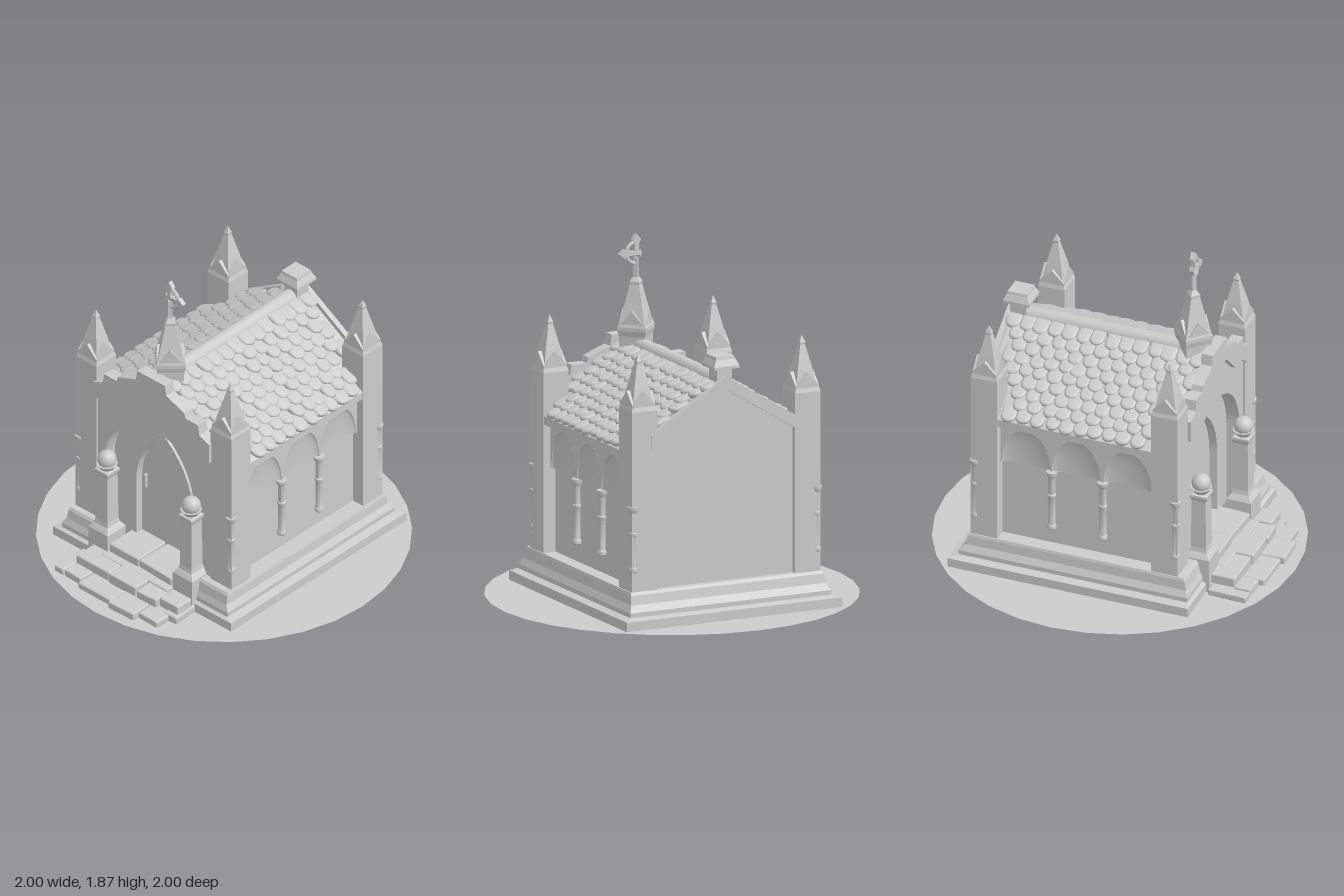
import * as THREE from 'three';
import { mergeGeometries, toCreasedNormals } from 'three/addons/utils/BufferGeometryUtils.js';
import { RoundedBoxGeometry } from 'three/addons/geometries/RoundedBoxGeometry.js';

const V = (x, y, z) => new THREE.Vector3(x, y, z);
const v2 = (a) => a.map(([x, y]) => new THREE.Vector2(x, y));
const polygon = (a) => new THREE.Shape(v2(a));
const mirrored = (a) => a.map(([x, y]) => [-x, y]).reverse();

// Solid from stacked rectangles [x0, x1, z0, z1, y]
function rectLoft(rings) {
  const pos = [], idx = [], n = rings.length;
  rings.forEach(([x0, x1, z0, z1, y]) => pos.push(x0, y, z1, x1, y, z1, x1, y, z0, x0, y, z0));
  for (let r = 0; r < n - 1; r++) for (let i = 0; i < 4; i++) {
    const a = r * 4 + i, b = r * 4 + (i + 1) % 4;
    idx.push(a, b, b + 4, a, b + 4, a + 4);
  }
  const t = (n - 1) * 4;
  idx.push(2, 1, 0, 3, 2, 0, t, t + 1, t + 2, t, t + 2, t + 3);
  const g = new THREE.BufferGeometry();
  g.setAttribute('position', new THREE.Float32BufferAttribute(pos, 3));
  g.setIndex(idx);
  const flat = g.toNonIndexed();
  flat.computeVertexNormals();
  return flat;
}
// Square version: [half width, y] around the origin
const squareLoft = (rings) => rectLoft(rings.map(([h, y]) => [-h, h, -h, h, y]));
const extrude = (shape, z0, z1) =>
  new THREE.ExtrudeGeometry(shape, { depth: z1 - z0, bevelEnabled: false, curveSegments: 20 }).translate(0, 0, z0);

export function createModel() {
  const model = new THREE.Group();
  const mat = new THREE.MeshStandardMaterial({ color: 0xcccccc });
  const thin = new THREE.MeshStandardMaterial({ color: 0xcccccc, side: THREE.DoubleSide });
  const add = (name, geo, p = [0, 0, 0], m = mat, parent = model) => {
    const mesh = new THREE.Mesh(geo, m);
    mesh.name = name;
    mesh.position.set(...p);
    parent.add(mesh);
    return mesh;
  };
  let seed = 7;
  const rnd = () => (seed = (seed * 16807) % 2147483647) / 2147483647 - 0.5;

  // Ground disc
  add('ground', new THREE.CircleGeometry(1, 32).rotateX(-Math.PI / 2), [0, 0, 0], thin);

  // Moulded plinth with a gap for the doorway: [x, back z, front z, y]
  const plinth = [[0.645, -0.73, 0.64, 0.003], [0.645, -0.73, 0.64, 0.055], [0.6, -0.685, 0.62, 0.065],
    [0.6, -0.685, 0.62, 0.09], [0.58, -0.655, 0.605, 0.125], [0.575, -0.645, 0.595, 0.175], [0.57, -0.635, 0.585, 0.19]];
  add('plinth', rectLoft(plinth.map(([x, b, , y]) => [-x, x, b, 0.42, y])));
  for (const s of [1, -1]) {
    add('plinthFront', rectLoft(plinth.map(([x, , f, y]) => [s > 0 ? 0.37 : -x, s > 0 ? x : -0.37, 0.42, f, y])));
  }

  // Gabled body
  const slope = 0.614, ridge = 1.28, roofY = (x) => ridge - slope * x, wallX = 0.49;
  const eave = roofY(wallX) - 0.01;
  add('body', extrude(polygon([[-wallX, 0.1], [wallX, 0.1], [wallX, eave], [0, ridge - 0.01], [-wallX, eave]]), -0.6, 0.42));

  // Roof slab, rear coping and ridge
  const chevron = (w, lift, t) => polygon([[-w, roofY(w) + lift], [-w, roofY(w) + lift - t], [0, ridge + lift - t],
    [w, roofY(w) + lift - t], [w, roofY(w) + lift], [0, ridge + lift]]);
  add('roofSlab', extrude(chevron(0.56, 0, 0.045), -0.61, 0.51));
  add('rearCoping', extrude(chevron(0.45, 0.03, 0.07), -0.635, -0.605));
  add('ridgeCap', new THREE.CylinderGeometry(0.048, 0.048, 0.92, 12).rotateX(Math.PI / 2), [0, 1.264, -0.09]);

  // Pillowy overlapping tiles, left out where the pillars stand
  const tileShape = new THREE.Shape();
  tileShape.moveTo(-0.028, 0.05);
  tileShape.lineTo(-0.028, -0.01);
  tileShape.quadraticCurveTo(-0.026, -0.036, 0, -0.038);
  tileShape.quadraticCurveTo(0.026, -0.036, 0.028, -0.01);
  tileShape.lineTo(0.028, 0.05);
  const tile = toCreasedNormals(new THREE.ExtrudeGeometry(tileShape,
    { depth: 0.006, bevelSize: 0.013, bevelThickness: 0.013, bevelSegments: 3, curveSegments: 4 }), 1);
  const angle = Math.atan(slope), tiles = [];
  for (const s of [1, -1]) for (let row = 0; row < 9; row++) for (let c = 0; c < 14; c++) {
    const ey = V(-s * Math.cos(angle), Math.sin(angle), 0);
    const ez = V(s * Math.sin(angle), Math.cos(angle), 0);
    const ex = ey.clone().cross(ez);
    const x = 0.53 - row * 0.057 + rnd() * 0.012;
    const z = 0.475 - c * 0.081 + (row % 2 ? -0.04 : 0) + rnd() * 0.014;
    if (z < -0.58 || (x > 0.4 && (z > 0.38 || z < -0.46))) continue;
    const m = new THREE.Matrix4().makeBasis(ex, ey, ez).setPosition(s * x, roofY(x) + 0.013, z);
    m.multiply(new THREE.Matrix4().makeRotationX(-0.2 + rnd() * 0.08));
    m.multiply(new THREE.Matrix4().makeRotationZ(rnd() * 0.16));
    m.multiply(new THREE.Matrix4().makeScale(1 + rnd() * 0.16, 1, 1));
    tiles.push(tile.clone().applyMatrix4(m));
  }
  add('roofTiles', mergeGeometries(tiles));

  // Corner pillars with cross-gabled heads and spires
  const gables = (w, y0, y1, y2) => {
    const g = extrude(polygon([[-w, y0], [w, y0], [w, y1], [0, y2], [-w, y1]]), -w, w);
    return [g, g.clone().rotateY(Math.PI / 2)];
  };
  const column = toCreasedNormals(new THREE.LatheGeometry(v2([[0, 0.29], [0.018, 0.292], [0.025, 0.3], [0.025, 0.318], [0.02, 0.325],
    [0.02, 0.49], [0.024, 0.495], [0.024, 0.51], [0.019, 0.515], [0.019, 0.615], [0.03, 0.635], [0.03, 0.653], [0, 0.655]]), 12), 0.7);
  for (const s of [1, -1]) for (const z of [0.475, -0.555]) {
    const pillar = new THREE.Group();
    pillar.name = 'cornerPillar';
    pillar.position.set(s * 0.488, 0, z);
    model.add(pillar);
    const put = (name, g) => add(name, g, [0, 0, 0], mat, pillar);
    put('shaft', squareLoft([[0.076, 0.15], [0.076, 1.17], [0.064, 1.21]]));
    for (const g of gables(0.069, 1.19, 1.205, 1.275)) put('gable', g);
    put('spire', squareLoft([[0.061, 1.2], [0.044, 1.29], [0.014, 1.42], [0.016, 1.43], [0, 1.47]]));
    add('cornerColumn', column, [s * 0.547, 0, z > 0 ? 0.533 : -0.612]);
  }

  // Side arcades: shallow arched hoods between slim columns
  const bays = [-0.33, -0.045, 0.25], r = 0.139;
  const arcade = new THREE.Shape();
  arcade.moveTo(-0.49, 0.93);
  arcade.lineTo(-0.49, 0.65);
  for (const c of bays) {
    arcade.lineTo(c - r, 0.65);
    arcade.absellipse(c, 0.65, r, 0.225, Math.PI, 0, true);
  }
  arcade.lineTo(0.41, 0.65);
  arcade.lineTo(0.41, 0.93);
  const depth = 0.03;
  const arcadeGeo = extrude(arcade, 0, depth).rotateY(-Math.PI / 2);
  const hood = new THREE.SphereGeometry(1, 16, 10, -Math.PI / 2, Math.PI, 0, Math.PI / 2).scale(depth - 0.002, 0.225, r);
  for (const s of [1, -1]) {
    add('sideArcade', arcadeGeo, [s > 0 ? wallX + depth : -wallX, 0, 0]);
    for (const c of bays) add('nicheHood', hood, [s * (wallX + depth), 0.65, c], thin).rotation.y = s > 0 ? 0 : Math.PI;
    for (const z of [0.105, -0.187]) add('sideColumn', column, [s * 0.515, 0, z]);
    add('eaveBeam', new THREE.BoxGeometry(0.07, 0.045, 0.9), [s * 0.515, 0.917, -0.04]);
  }

  // Front facade: round arch under a thin stepped gable
  const archWall = (right) => {
    const shape = polygon([[0.36, 0.12], [0.42, 0.12], ...right, ...mirrored(right), [-0.42, 0.12], [-0.36, 0.12], [-0.36, 0.59]]);
    shape.absarc(0, 0.59, 0.36, Math.PI, 0, true);
    return shape;
  };
  const steps = [[0.42, 1.08], [0.35, 1.11], [0.34, 1.17], [0.25, 1.17], [0.24, 1.2], [0.11, 1.25], [0.1, 1.31]];
  const under = [[0, 1.19], [0.1, 1.17], [0.23, 1.04], [0.33, 1.03], [0.42, 0.96]];
  add('archBody', extrude(archWall([[0.42, 0.98], [0.01, 1.21]]), 0.42, 0.51));
  add('facade', extrude(archWall(steps), 0.505, 0.54));
  add('gableBand', extrude(polygon([...steps, ...mirrored(steps), ...mirrored(under), ...under.slice(1)]), 0.53, 0.57));

  // Door recess, pointed frame, door and handle
  const pointed = (w, h, y0, Type = THREE.Shape) => {
    const p = new Type();
    p.moveTo(-w, y0);
    p.lineTo(w, y0);
    p.lineTo(w, 0.5);
    p.bezierCurveTo(w, 0.68, w * 0.5, h - 0.08, 0, h);
    p.bezierCurveTo(-w * 0.5, h - 0.08, -w, 0.68, -w, 0.5);
    return p;
  };
  const recess = polygon([[-0.37, 0.1], [0.37, 0.1], [0.37, 0.97], [-0.37, 0.97]]);
  recess.holes.push(pointed(0.2, 0.875, 0.13, THREE.Path));
  add('recessWall', extrude(recess, 0.41, 0.465));
  const frame = pointed(0.215, 0.895, 0.12);
  frame.holes.push(pointed(0.19, 0.86, 0.13, THREE.Path));
  add('doorFrame', extrude(frame, 0.42, 0.48));
  add('door', extrude(pointed(0.2, 0.875, 0.13), 0.415, 0.435));
  add('doorHandle', new RoundedBoxGeometry(0.014, 0.09, 0.02, 2, 0.005), [-0.155, 0.495, 0.445]);

  // Gate posts with ball finials
  for (const s of [1, -1]) {
    const post = new THREE.Group();
    post.name = 'gatePost';
    post.position.set(s * 0.305, 0.003, 0.585);
    model.add(post);
    add('postShaft', squareLoft([[0.07, 0], [0.07, 0.195], [0.06, 0.21], [0.048, 0.225], [0.043, 0.25], [0.04, 0.54],
      [0.048, 0.56], [0.048, 0.575], [0.035, 0.58]]), [0, 0, 0], mat, post);
    add('postCapital', new THREE.CylinderGeometry(0.058, 0.035, 0.035, 16), [0, 0.592, 0], mat, post);
    add('postBall', new THREE.SphereGeometry(0.052, 20, 14), [0, 0.634, 0], mat, post);
  }

  // Worn entrance slabs: [x0, x1, z0, z1, y0, y1]
  const slabs = [
    [-0.23, -0.02, 0.43, 0.65, 0.08, 0.15], [-0.015, 0.23, 0.43, 0.65, 0.08, 0.145],
    [-0.34, -0.1, 0.65, 0.79, 0.035, 0.095], [-0.095, 0.1, 0.58, 0.8, 0.035, 0.1],
    [0.105, 0.24, 0.62, 0.8, 0.035, 0.09], [0.245, 0.38, 0.66, 0.77, 0.035, 0.095], [-0.24, 0.24, 0.56, 0.7, 0, 0.1],
    [-0.41, -0.345, 0.66, 0.88, 0, 0.04], [-0.34, -0.22, 0.76, 0.88, 0, 0.045], [-0.215, 0.02, 0.78, 0.91, 0, 0.04],
    [0.02, 0.2, 0.79, 0.93, 0, 0.045], [0.205, 0.34, 0.77, 0.89, 0, 0.04], [0.3, 0.39, 0.64, 0.8, 0, 0.045], [-0.35, 0.33, 0.6, 0.8, 0, 0.04]];
  for (const [x0, x1, z0, z1, y0, y1] of slabs) {
    const g = new RoundedBoxGeometry(x1 - x0, y1 - y0, z1 - z0, 2, 0.009);
    const slab = add('stepSlab', g, [(x0 + x1) / 2, (y0 + y1) / 2 + 0.004, (z0 + z1) / 2]);
    slab.rotation.y = rnd() * 0.12;
  }

  // Main spire over the door, set diagonally
  const spire = new THREE.Group();
  spire.name = 'mainSpire';
  spire.position.z = 0.42;
  spire.rotation.y = Math.PI / 4;
  model.add(spire);
  add('spireBody', squareLoft([[0.07, 1.2], [0.072, 1.32], [0.079, 1.35], [0.079, 1.37], [0.066, 1.41], [0.046, 1.5], [0.027, 1.595],
    [0.028, 1.61], [0.013, 1.635], [0.011, 1.74]]), [0, 0, 0], mat, spire);
  for (const g of gables(0.074, 1.33, 1.375, 1.46)) add('spireGable', g, [0, 0, 0], mat, spire);

  // Broken ringed cross
  const arm = (len) => extrude(polygon([[-0.011, 0], [0.011, 0], [0.013, len * 0.55], [0.026, len * 0.68], [0, len],
    [-0.026, len * 0.68], [-0.013, len * 0.55]]), -0.013, 0.013);
  const cross = new THREE.Group();
  cross.name = 'cross';
  cross.position.set(0, 1.765, 0.42);
  model.add(cross);
  add('crossTop', arm(0.105), [0, 0, 0], mat, cross);
  add('crossArm', arm(0.103), [0, 0, 0], mat, cross).rotation.z = -Math.PI / 2;
  add('crossStub', arm(0.03), [0, 0, 0], mat, cross).rotation.z = Math.PI / 2;
  add('crossRing', new THREE.TorusGeometry(0.058, 0.012, 6, 16, Math.PI * 1.1), [0, 0, 0], mat, cross).rotation.z = -Math.PI / 2;

  // Rear ridge stub with a flared cap
  add('rearStub', squareLoft([[0.045, 1.2], [0.045, 1.345], [0.075, 1.35], [0.075, 1.365], [0.058, 1.4], [0.055, 1.415]]), [0, 0, -0.565]);

  return model;
}
